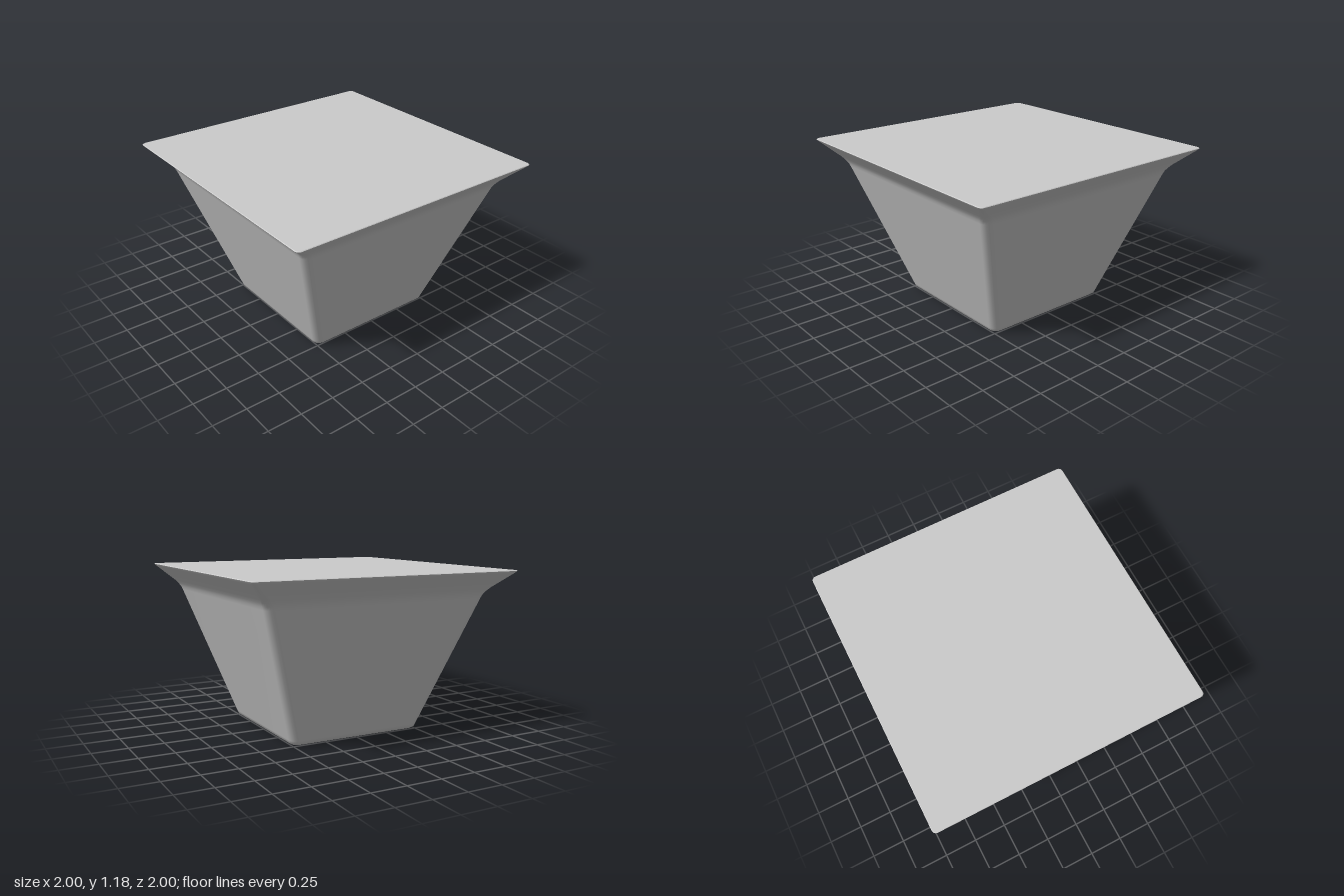
import * as THREE from 'three';
import { toCreasedNormals } from 'three/addons/utils/BufferGeometryUtils.js';

const CORNER_STEPS = 6;

// Rounded square outline of a given half width, counted around the y axis
function squareRing(half, y, radius) {
  const points = [];
  for (let q = 0; q < 4; q++) {
    const mid = Math.PI / 4 + q * Math.PI / 2;
    const cx = Math.sign(Math.cos(mid)) * (half - radius);
    const cz = Math.sign(Math.sin(mid)) * (half - radius);
    for (let s = 0; s <= CORNER_STEPS; s++) {
      const a = (q + s / CORNER_STEPS) * Math.PI / 2;
      points.push(cx + radius * Math.cos(a), y, cz + radius * Math.sin(a));
    }
  }
  return points;
}

// Skin a profile of [half width, height, corner radius] with rounded squares
function loftSquares(profile) {
  const n = 4 * (CORNER_STEPS + 1);
  const positions = profile.flatMap(([h, y, r]) => squareRing(h, y, r));
  const index = [];
  for (let i = 0; i < profile.length - 1; i++) {
    for (let j = 0; j < n; j++) {
      const k = (j + 1) % n;
      const a = i * n + j, b = i * n + k, c = a + n, d = b + n;
      if (profile[i][0] > 0) index.push(a, c, b);
      if (profile[i + 1][0] > 0) index.push(b, c, d);
    }
  }
  const geometry = new THREE.BufferGeometry();
  geometry.setAttribute('position', new THREE.Float32BufferAttribute(positions, 3));
  geometry.setIndex(index);
  return toCreasedNormals(geometry, 0.6);
}

export function createModel() {
  const group = new THREE.Group();
  group.name = 'squarePlanter';
  const material = new THREE.MeshStandardMaterial({ color: 0xcccccc });

  const add = (name, profile) => {
    const mesh = new THREE.Mesh(loftSquares(profile), material);
    mesh.name = name;
    group.add(mesh);
  };

  // Hollow core, open at the underside
  add('cavity', [
    [0, 1.1, 0],
    [0.35, 1.1, 0.04],
    [0.35, 0.02, 0.04],
    [0.355, 0.006, 0.04],
    [0.365, 0, 0.04],
  ]);

  // Foot, tapered walls and flared rim
  add('body', [
    [0.365, 0, 0.04],
    [0.475, 0, 0.04],
    [0.495, 0.005, 0.05],
    [0.511, 0.018, 0.055],
    [0.52, 0.04, 0.06],
    [0.835, 0.985, 0.06],
    [0.845, 1.01, 0.06],
    [0.86, 1.035, 0.055],
    [0.88, 1.06, 0.05],
    [0.985, 1.163, 0.03],
    [0.998, 1.176, 0.03],
    [1, 1.18, 0.03],
    [0.996, 1.184, 0.03],
  ]);

  // Flat closed top
  add('top', [
    [0.996, 1.184, 0.03],
    [0, 1.184, 0],
  ]);

  return group;
}
